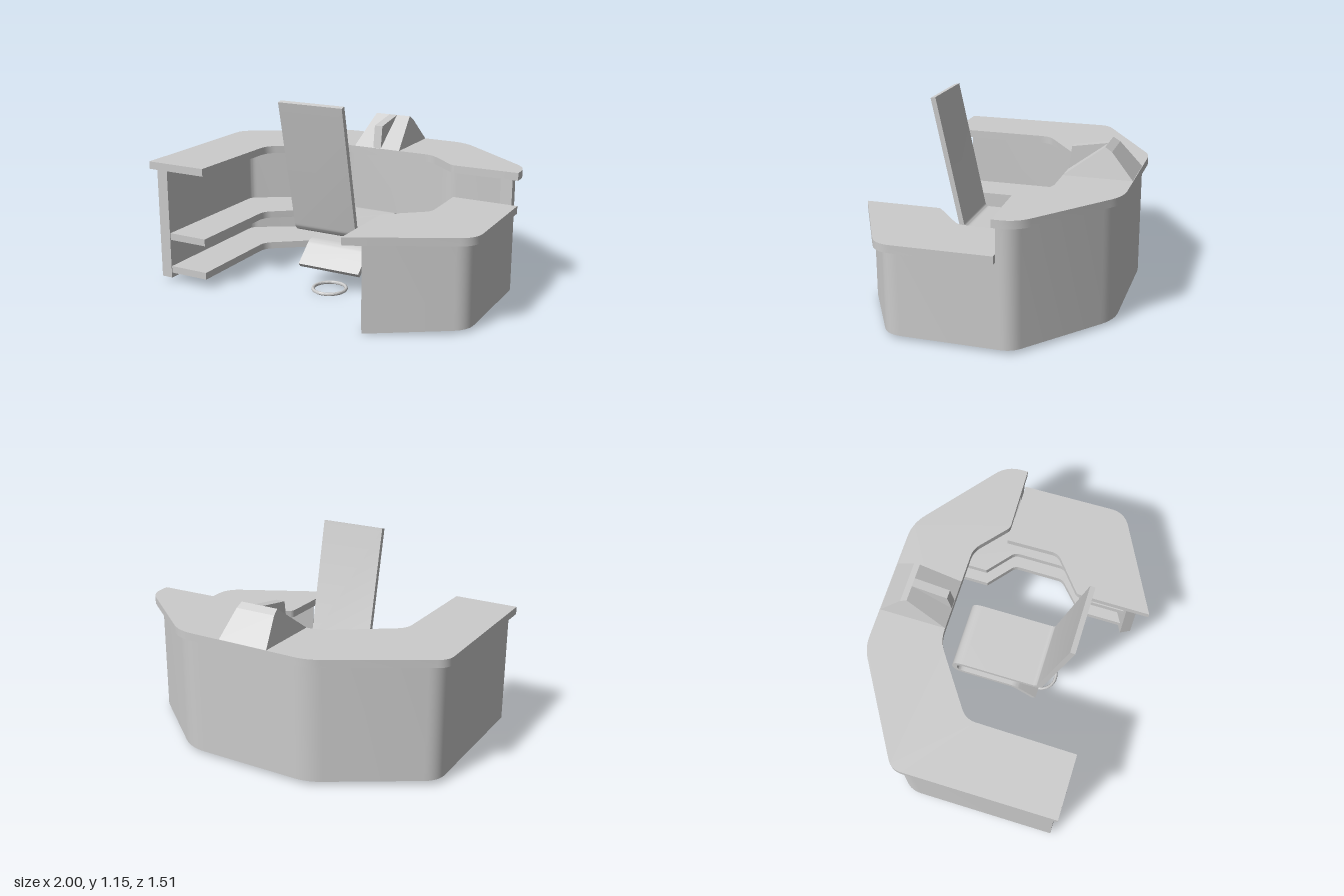
import * as THREE from 'three';
import { toCreasedNormals } from 'three/addons/utils/BufferGeometryUtils.js';

const grey = new THREE.MeshStandardMaterial({ color: 0xcccccc, side: THREE.DoubleSide });

// Turns corners [x, z, cut] into a path; cut is how far each corner is rounded back
function roundCorners(pts, closed) {
  const out = [];
  const n = pts.length;
  pts.forEach(([x, z, cut = 0], i) => {
    const p = new THREE.Vector2(x, z);
    if (!cut || (!closed && (i === 0 || i === n - 1))) { out.push(p); return; }
    const towards = (q) => new THREE.Vector2(q[0], q[1]).sub(p).setLength(cut).add(p);
    const a = towards(pts[(i + n - 1) % n]);
    const b = towards(pts[(i + 1) % n]);
    out.push(...new THREE.QuadraticBezierCurve(a, p, b).getPoints(8));
  });
  return out;
}

// Shifts an open path sideways, mitring at each point
function offsetPath(path, d) {
  return path.map((p, i) => {
    const a = path[Math.max(i - 1, 0)], b = path[Math.min(i + 1, path.length - 1)];
    const d1 = p.clone().sub(a).normalize(), d2 = b.clone().sub(p).normalize();
    const n1 = new THREE.Vector2(-d1.y, d1.x), n2 = new THREE.Vector2(-d2.y, d2.x);
    const n = n1.clone().add(n2).normalize();
    const along = n.dot(i === 0 ? n2 : n1);
    return p.clone().addScaledVector(n, d / along);
  });
}

function addMesh(group, name, geo, crease = 0.5) {
  const mesh = new THREE.Mesh(toCreasedNormals(geo, crease), grey);
  mesh.name = name;
  group.add(mesh);
  return mesh;
}

// Plan outline (x, z) raised from y0 to y1
function slab(outline, y0, y1) {
  const shape = new THREE.Shape(outline.map((p) => new THREE.Vector2(p.x, -p.y)));
  const geo = new THREE.ExtrudeGeometry(shape, { depth: y1 - y0, bevelEnabled: false });
  return geo.rotateX(-Math.PI / 2).translate(0, y0, 0);
}

// Side outline (z, y) stretched from x0 to x1
function sideExtrude(outline, x0, x1) {
  const shape = new THREE.Shape(outline.map((p) => new THREE.Vector2(-p.x, p.y)));
  const geo = new THREE.ExtrudeGeometry(shape, { depth: x1 - x0, bevelEnabled: false });
  return geo.rotateY(Math.PI / 2).translate(x0, 0, 0);
}

// Wall of even thickness whose bottom edge follows the slightly uneven floor line
function wall(pts, top) {
  const path = roundCorners(pts, false);
  const geo = slab([...path, ...offsetPath(path, 0.07).reverse()], 0, top);
  const pos = geo.attributes.position;
  for (let i = 0; i < pos.count; i++) {
    if (pos.getY(i) > 0.01) continue;
    const x = pos.getX(i), z = pos.getZ(i);
    const y = x > 0 ? 0.02 - 0.06 * Math.max(0, z - 0.4) : 0.02 + 0.012 * Math.max(0, -x - 0.1);
    pos.setY(i, y);
  }
  return geo;
}

export function createModel() {
  const model = new THREE.Group();
  model.name = 'receptionDesk';

  // High counter, bent round three sides
  addMesh(model, 'highCounter', slab(roundCorners([
    [-1, 0.57], [-1, -0.385, 0.06], [-0.375, -0.76, 0.07], [0.45, -0.76, 0.09],
    [0.99, -0.33, 0.09], [0.99, -0.2], [0.595, -0.19, 0.02], [0.395, -0.36, 0.05],
    [-0.21, -0.36, 0.07], [-0.61, -0.08, 0.06], [-0.62, 0.57],
  ], true), 0.7, 0.745));

  // Low side counter
  addMesh(model, 'lowCounter', slab(roundCorners([
    [0.99, -0.21], [0.998, 0.435, 0.09], [0.38, 0.75], [0.38, 0.3, 0.02],
    [0.605, 0.115, 0.04], [0.6, -0.21],
  ], true), 0.505, 0.55));

  // Outer walls under both counters
  addMesh(model, 'highWall', wall([
    [-0.965, 0.545], [-0.965, -0.365, 0.08], [-0.36, -0.73, 0.08],
    [0.43, -0.73, 0.1], [0.955, -0.295, 0.06], [0.955, -0.21],
  ], 0.7));
  addMesh(model, 'lowWall', wall([
    [0.955, -0.21], [0.955, 0.4, 0.08], [0.46, 0.675],
  ], 0.505));

  // Two storage shelves on each side
  const rightShelf = [
    [-0.9, 0.54], [-0.9, -0.325], [-0.365, -0.645], [-0.365, -0.3],
    [-0.645, -0.09, 0.05], [-0.645, 0.54],
  ];
  const leftShelf = [
    [0.455, 0.6], [0.455, 0.325], [0.64, 0.155, 0.03], [0.64, -0.17, 0.03],
    [0.47, -0.31], [0.47, -0.605], [0.89, -0.265], [0.89, 0.355],
  ];
  for (const y of [0.06, 0.268]) {
    addMesh(model, 'rightShelf', slab(roundCorners(rightShelf, true), y, y + 0.042));
    addMesh(model, 'leftShelf', slab(roundCorners(leftShelf, true), y - 0.005, y + 0.037));
  }

  // Chair: one bent sheet forming back, seat, front curl and tail
  const chairLine = roundCorners([
    [0.4, 1.145], [0.232, 0.365, 0.04], [-0.305, 0.365, 0.0625],
    [-0.305, 0.24, 0.0624], [0.08, 0.24, 0.03], [0.21, 0.125],
  ], false);
  const chairOutline = [...offsetPath(chairLine, 0.015), ...offsetPath(chairLine, -0.015).reverse()];
  addMesh(model, 'chair', sideExtrude(chairOutline, -0.2, 0.2));

  // Floor ring under the chair
  const ring = addMesh(model, 'floorRing',
    new THREE.TorusGeometry(0.098, 0.01, 10, 48).rotateX(Math.PI / 2), 1.2);
  ring.position.set(0, 0.01, 0.2);

  // Console on the counter: sloped wedge narrowing upwards, with a centre divider
  const console3 = new THREE.Group();
  console3.name = 'console';
  const vec = (list) => list.map(([z, y]) => new THREE.Vector2(z, y));
  const wedge = sideExtrude(vec([
    [-0.36, 0.745], [-0.59, 0.917], [-0.63, 0.892], [-0.757, 0.745],
  ]), -0.13, 0.175);
  const pos = wedge.attributes.position;
  for (let i = 0; i < pos.count; i++) {
    const t = (pos.getY(i) - 0.745) / 0.17;
    pos.setX(i, 0.0225 + (pos.getX(i) - 0.0225) * (1 - 0.24 * t));
  }
  addMesh(console3, 'consoleBody', wedge, 0.1);
  addMesh(console3, 'consoleDivider', sideExtrude(vec([
    [-0.362, 0.745], [-0.382, 0.882], [-0.59, 0.917], [-0.59, 0.745],
  ]), -0.002, 0.05), 0.1);
  model.add(console3);

  return model;
}
